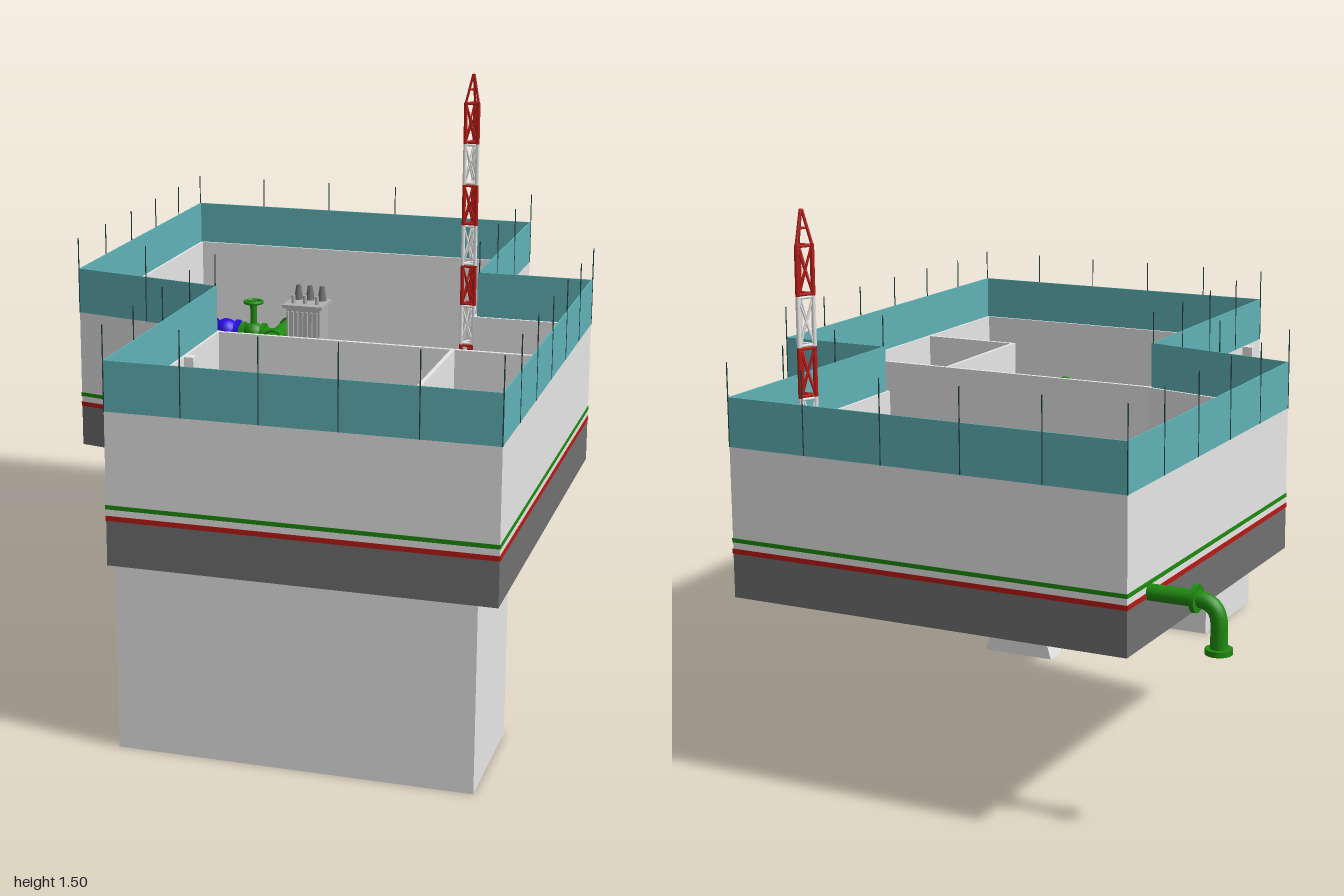
import * as THREE from 'three';

const mat = (name, color) => Object.assign(new THREE.MeshStandardMaterial({ color }), { name });

export function createModel() {
  const root = new THREE.Group();
  root.name = 'pumpingStation';
  const M = {
    wall: mat('light grey', 0xe6e6e6), dark: mat('dark grey', 0x707070),
    teal: mat('teal', 0x5fb2b6), red: mat('red', 0xb81a14),
    green: mat('pipe green', 0x1f8a10), blue: mat('valve blue', 0x2c0ae0),
    gate: mat('olive', 0xa0ac00), white: mat('white', 0xf4f4f4),
    mid: mat('mid grey', 0xb0b0b0), post: mat('post dark', 0x23403e),
  };
  const V = (x, y, z) => new THREE.Vector3(x, y, z);
  const add = (name, geo, m, parent = root) => {
    const mesh = new THREE.Mesh(geo, m);
    mesh.name = name;
    parent.add(mesh);
    return mesh;
  };
  const group = (name) => {
    const g = new THREE.Group();
    g.name = name;
    root.add(g);
    return g;
  };
  // box given by its limits on each axis
  const box = (name, x0, x1, y0, y1, z0, z1, m, parent) =>
    add(name, new THREE.BoxGeometry(x1 - x0, y1 - y0, z1 - z0)
      .translate((x0 + x1) / 2, (y0 + y1) / 2, (z0 + z1) / 2), m, parent);
  // straight round bar between two points
  const rod = (name, a, b, r, m, parent, sides = 16, r2 = r) => {
    const d = b.clone().sub(a);
    const mesh = add(name, new THREE.CylinderGeometry(r2, r, d.length(), sides), m, parent);
    mesh.position.copy(a).add(b).multiplyScalar(0.5);
    mesh.quaternion.setFromUnitVectors(V(0, 1, 0), d.normalize());
    return mesh;
  };

  // Footprint (x, z) and its parallel offsets
  const plan = [[-0.617, -0.998], [0.5, -0.998], [0.5, -0.233], [0.826, -0.233],
    [0.826, 0.998], [-0.168, 0.998], [-0.168, 0.155], [-0.617, 0.06]];
  const normal = (a, b) => {
    const l = Math.hypot(b[0] - a[0], b[1] - a[1]);
    return [(b[1] - a[1]) / l, (a[0] - b[0]) / l];
  };
  const offset = (d) => plan.map((p, i) => {
    const n = normal(plan.at(i - 1), p), k = normal(p, plan[(i + 1) % plan.length]);
    const s = d / (1 + n[0] * k[0] + n[1] * k[1]);
    return new THREE.Vector2(p[0] + (n[0] + k[0]) * s, -(p[1] + (n[1] + k[1]) * s));
  });
  const layer = (name, y0, y1, outer, inner, m) => {
    const shape = new THREE.Shape(offset(outer).reverse());
    if (inner !== null) shape.holes.push(new THREE.Path(offset(inner)));
    const geo = new THREE.ExtrudeGeometry(shape, { depth: y1 - y0, bevelEnabled: false });
    add(name, geo.rotateX(-Math.PI / 2).translate(0, y0, 0), m);
  };

  // Shell: floor, walls, painted bands, wind screen
  layer('floor', 0.49, 0.502, -0.003, null, M.wall);
  layer('wallBase', 0.49, 0.615, 0, -0.006, M.dark);
  layer('innerLining', 0.502, 0.615, -0.006, -0.012, M.wall);
  layer('wall', 0.615, 0.89, 0, -0.012, M.wall);
  layer('redBand', 0.608, 0.621, 0.0015, -0.001, M.red);
  layer('greenBand', 0.638, 0.649, 0.0015, -0.001, M.green);
  layer('windScreen', 0.89, 1.02, 0, -0.004, M.teal);

  // Slim posts around the screen
  const posts = group('screenPosts');
  plan.forEach((p, i) => {
    const q = plan[(i + 1) % plan.length];
    const len = Math.hypot(q[0] - p[0], q[1] - p[1]), n = Math.max(1, Math.round(len / 0.22));
    for (let k = 0; k < n; k++) {
      const x = p[0] + (q[0] - p[0]) * k / n, z = p[1] + (q[1] - p[1]) * k / n;
      rod('screenPost', V(x, 0.89, z), V(x, 1.11, z), 0.0016, M.post, posts, 6);
    }
  });

  // Foundation block, partition and side room
  box('foundation', -0.146, 0.776, 0, 0.49, 0.63, 0.996, M.wall);
  box('partition', -0.16, 0.815, 0.5, 0.89, 0.15, 0.162, M.wall);
  box('roomSideWall', 0.508, 0.52, 0.5, 0.89, 0.162, 0.592, M.wall);
  box('roomFrontWall', 0.52, 0.815, 0.5, 0.89, 0.58, 0.592, M.wall);
  box('doorStep', 0.508, 0.598, 0.5, 0.55, -0.222, -0.193, M.wall);

  // Ribbed gate set in the wall between two posts
  const gate = group('gate');
  box('gatePanel', -0.171, -0.153, 0.505, 0.865, 0.45, 0.85, M.gate, gate);
  for (let i = 0; i < 9; i++) {
    const z = 0.46 + i * 0.045;
    box('gateRib', -0.175, -0.149, 0.505, 0.865, z, z + 0.018, M.gate, gate);
  }
  for (const z of [0.435, 0.865]) box('gatePost', -0.2, -0.13, 0.49, 0.89, z - 0.015, z + 0.015, M.wall, gate);

  // Transformer on a plinth
  const tr = group('transformer');
  box('plinth', -0.165, 0, 0.5, 0.69, -0.535, -0.365, M.wall, tr);
  box('tank', -0.135, -0.03, 0.69, 0.83, -0.505, -0.41, M.mid, tr);
  box('tankLid', -0.145, -0.02, 0.83, 0.84, -0.515, -0.4, M.mid, tr);
  for (let i = 0; i < 7; i++) {
    const x = -0.132 + i * 0.015;
    box('coolingFin', x, x + 0.006, 0.7, 0.82, -0.515, -0.4, M.mid, tr);
  }
  for (const x of [-0.12, -0.083, -0.045]) {
    rod('insulator', V(x, 0.84, -0.49), V(x, 0.885, -0.49), 0.014, M.dark, tr, 10, 0.007);
    rod('terminal', V(x, 0.84, -0.435), V(x, 0.865, -0.435), 0.006, M.mid, tr, 8);
  }

  // Hatch pad with a grate
  box('hatchPad', 0.035, 0.3, 0.5, 0.525, -0.805, -0.545, M.wall);
  box('hatchFrame', 0.043, 0.148, 0.525, 0.545, -0.657, -0.563, M.wall);
  box('hatchGrate', 0.05, 0.141, 0.545, 0.55, -0.65, -0.57, M.dark);

  // Three-legged lattice mast in alternating bands
  const mast = group('mast');
  const corner = (k, y, s = 1) => {
    const [x, z] = [[0, -0.025], [0.02, 0.015], [-0.02, 0.015]][k % 3];
    return V(0.325 + x * s, y, -0.905 + z * s);
  };
  for (let i = 0; i < 7; i++) {
    const y0 = 0.5 + i * 0.13, y1 = y0 + 0.13, m = i % 2 ? M.white : M.red;
    for (let k = 0; k < 3; k++) {
      rod('mastLeg', corner(k, y0), corner(k, y1), 0.006, m, mast, 8);
      for (const y of [y0 + 0.004, y1 - 0.004]) rod('mastRing', corner(k, y), corner(k + 1, y), 0.004, m, mast, 6);
      rod('mastBrace', corner(k, y0), corner(k + 1, y1), 0.0028, m, mast, 6);
      rod('mastBrace', corner(k + 1, y0), corner(k, y1), 0.0028, m, mast, 6);
    }
  }
  for (let k = 0; k < 3; k++) {
    rod('mastTip', corner(k, 1.41), corner(k, 1.497, 0.08), 0.004, M.red, mast, 6);
    rod('mastTipRing', corner(k, 1.45, 0.57), corner(k + 1, 1.45, 0.57), 0.0025, M.red, mast, 6);
  }

  // Main pipe with mitred bends, ending in a downward outlet
  const Y = 0.62, R = 0.027;
  const pipes = group('pipes');
  const run = [V(-0.302, Y, -0.99), V(-0.302, Y, -0.238), V(0.325, Y, 0.232), V(0.325, Y, 0.8), V(0.325, 0.5, 0.8)];
  for (let i = 0; i < run.length - 1; i++) {
    rod('mainPipe', run[i], run[i + 1], R, M.green, pipes, 20);
    if (i) add('pipeBend', new THREE.SphereGeometry(R, 20, 12), M.green, pipes).position.copy(run[i]);
  }
  const flange = (p, dir, r = 0.034, t = 0.006, m = M.green) => rod('flange', p.clone().addScaledVector(dir, -t),
    p.clone().addScaledVector(dir, t), r, m, pipes, 20);
  const X = V(1, 0, 0), UP = V(0, 1, 0), Z = V(0, 0, 1);
  for (const z of [-0.985, -0.8, -0.69, -0.58]) flange(V(-0.302, Y, z), Z);
  for (const z of [0.41, 0.52, 0.56, 0.61, 0.65]) flange(V(0.325, Y, z), Z);

  // Branch line through the wall with a bend to the ground
  const branch = new THREE.CurvePath();
  branch.add(new THREE.LineCurve3(V(-0.302, Y, -0.87), V(-0.74, Y, -0.87)));
  branch.add(new THREE.QuadraticBezierCurve3(V(-0.74, Y, -0.87), V(-0.8, Y, -0.87), V(-0.8, 0.56, -0.87)));
  branch.add(new THREE.LineCurve3(V(-0.8, 0.56, -0.87), V(-0.8, 0.49, -0.87)));
  add('branchPipe', new THREE.TubeGeometry(branch, 60, 0.021, 16), M.green, pipes);
  for (const x of [-0.74, -0.6, -0.425, -0.355]) flange(V(x, Y, -0.87), X, 0.035);
  flange(V(-0.8, 0.497, -0.87), UP, 0.034, 0.007);

  // Blue ball valve between flanges
  add('blueValve', new THREE.SphereGeometry(0.042, 20, 14), M.blue, pipes).position.set(-0.485, Y, -0.87);
  rod('blueValveNeck', V(-0.53, Y, -0.87), V(-0.44, Y, -0.87), 0.028, M.blue, pipes, 20);
  for (const x of [-0.525, -0.445]) flange(V(x, Y, -0.87), X, 0.04, 0.006, M.blue);

  // Gate valves with handwheels
  const valve = (x, z, top, upright) => {
    add('valveBody', new THREE.SphereGeometry(0.036, 16, 12), M.green, pipes).position.set(x, Y, z);
    rod('valveStem', V(x, Y, z), V(x, top, z), 0.011, M.green, pipes, 10);
    const wheel = new THREE.Group();
    wheel.name = 'handwheel';
    wheel.position.set(x, top, z);
    wheel.rotation.x = upright ? 0 : Math.PI / 2;
    pipes.add(wheel);
    add('wheelRim', new THREE.TorusGeometry(0.028, 0.006, 8, 20), M.green, wheel);
    rod('wheelSpoke', V(-0.028, 0, 0), V(0.028, 0, 0), 0.005, M.green, wheel, 6);
    rod('wheelSpoke', V(0, -0.028, 0), V(0, 0.028, 0), 0.005, M.green, wheel, 6);
  };
  valve(-0.39, -0.87, 0.725, false);
  valve(0.325, 0.585, 0.765, true);
  box('actuator', 0.29, 0.36, 0.59, 0.7, 0.425, 0.5, M.mid, pipes);
  rod('drain', V(0.36, 0.385, 0.53), V(0.36, Y, 0.53), 0.009, M.mid, pipes, 10);
  rod('drainArm', V(0.325, Y, 0.525), V(0.4, Y, 0.525), 0.006, M.mid, pipes, 10);

  // Outlet frame: plate, cross bars and side rails
  box('outletPlate', 0.255, 0.395, 0.502, 0.545, 0.755, 0.88, M.green, pipes);
  for (const z of [0.75, 0.885]) box('outletBar', 0.22, 0.43, 0.53, 0.55, z - 0.006, z + 0.006, M.green, pipes);
  for (const x of [0.205, 0.447]) {
    box('outletRail', x - 0.024, x + 0.024, 0.5, 0.53, 0.715, 0.91, M.wall, pipes);
    box('outletRailWeb', x - 0.01, x + 0.01, 0.53, 0.57, 0.715, 0.91, M.wall, pipes);
  }

  // Tapered pipe saddles that reach through the floor
  const saddle = new THREE.Shape([[-0.09, 0.44], [0.09, 0.44], [0.035, 0.625], [-0.035, 0.625]]
    .map(([x, y]) => new THREE.Vector2(x, y)));
  const saddleGeo = new THREE.ExtrudeGeometry(saddle, { depth: 0.055, bevelEnabled: false }).translate(0, 0, -0.0275);
  const yaw = Math.atan2(0.63, 0.47);
  for (const [x, z, a] of [[-0.302, -0.925, 0], [-0.302, -0.53, 0], [-0.302, -0.263, 0],
    [-0.095, -0.085, yaw], [0.12, 0.075, yaw], [0.325, 0.26, 0], [0.325, 0.585, 0]]) {
    const s = add('pipeSaddle', saddleGeo, M.wall, pipes);
    s.position.set(x, 0, z);
    s.rotation.y = a;
  }
  return root;
}
